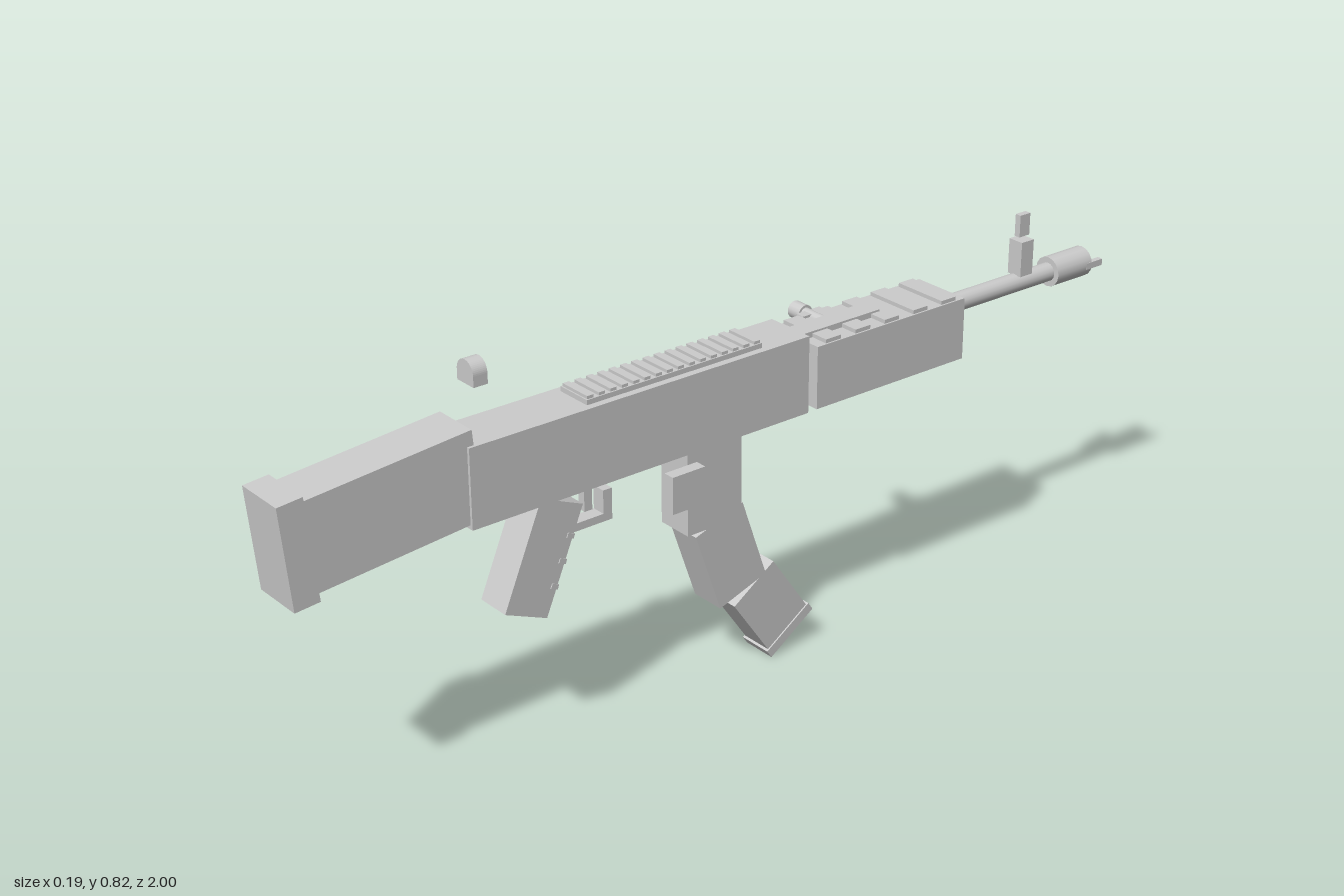
import * as THREE from 'three';

const CX = 0.02; // centre plane of the body
const mat = new THREE.MeshStandardMaterial({ color: 0xcccccc, flatShading: true });
const smooth = new THREE.MeshStandardMaterial({ color: 0xcccccc });

export function createModel() {
  const group = new THREE.Group();

  const add = (name, geometry, x, y, z, material = mat) => {
    const mesh = new THREE.Mesh(geometry, material);
    mesh.name = name;
    mesh.position.set(x, y, z);
    group.add(mesh);
    return mesh;
  };
  // box of width w, height h, depth d, tilted about x
  const box = (name, w, h, d, y, z, tilt = 0, x = CX) => {
    const mesh = add(name, new THREE.BoxGeometry(w, h, d), x, y, z);
    mesh.rotation.x = tilt;
    return mesh;
  };
  // cylinder along z from z0 to z1
  const rod = (name, r, z0, z1, y, x = CX) => {
    const geo = new THREE.CylinderGeometry(r, r, Math.abs(z1 - z0), 16);
    geo.rotateX(Math.PI / 2);
    return add(name, geo, x, y, (z0 + z1) / 2, smooth);
  };

  // Receiver and ridged top cover
  box('receiver', 0.11, 0.16, 0.78, 0.605, 0.225);
  box('topCover', 0.08, 0.01, 0.41, 0.69, 0.145);
  for (let i = 0; i < 16; i++) {
    box('topCoverRidge', 0.074, 0.008, 0.014, 0.697, -0.05 + i * 0.026);
  }

  // Stock, sloping down to the butt pad
  box('stock', 0.098, 0.18, 0.35, 0.61, 0.77, 0.09);
  box('buttPad', 0.11, 0.205, 0.052, 0.592, 0.962, 0.09);

  // Handguard with cross ribs
  box('handguard', 0.132, 0.13, 0.388, 0.598, -0.371);
  for (let i = 0; i < 5; i++) {
    box('handguardRib', 0.124, 0.014, 0.038, 0.664, -0.22 - i * 0.076);
  }
  box('gasBlock', 0.045, 0.054, 0.21, 0.648, -0.27);

  // Bolt handle on the right
  const across = (r, l) => new THREE.CylinderGeometry(r, r, l, 16).rotateZ(Math.PI / 2);
  add('boltStem', across(0.013, 0.075), -0.03, 0.658, -0.275, smooth);
  add('boltKnob', across(0.018, 0.032), -0.079, 0.658, -0.275, smooth);
  box('boltCollar', 0.02, 0.024, 0.06, 0.656, -0.275, 0, -0.046);

  // Barrel, muzzle and its two prongs
  rod('barrel', 0.02, -0.55, -0.88, 0.623);
  rod('muzzle', 0.032, -0.87, -0.97, 0.623);
  for (const s of [-1, 1]) {
    box('muzzleProng', 0.012, 0.014, 0.045, 0.622, -0.978, 0, CX + s * 0.026);
  }

  // Front sight
  box('frontSightBase', 0.036, 0.075, 0.034, 0.678, -0.788);
  box('frontSightPost', 0.014, 0.047, 0.028, 0.747, -0.788);

  // Domed rear sight
  const dome = new THREE.Shape();
  dome.moveTo(-0.025, 0);
  dome.lineTo(0.025, 0);
  dome.lineTo(0.025, 0.021);
  dome.absarc(0, 0.021, 0.025, 0, Math.PI, false);
  dome.closePath();
  const domeGeo = new THREE.ExtrudeGeometry(dome, { depth: 0.03, bevelEnabled: false, curveSegments: 12 });
  add('rearSight', domeGeo, CX, 0.779, 0.55);

  // Curved magazine in three segments
  box('magazineTop', 0.08, 0.185, 0.132, 0.437, 0.055);
  box('magazineMiddle', 0.078, 0.185, 0.122, 0.267, 0.013, 0.33);
  box('magazineBottom', 0.07, 0.155, 0.12, 0.118, -0.092, 0.6);
  box('magazinePlate', 0.076, 0.02, 0.13, 0.046, -0.141, 0.6);
  box('magazineCatch', 0.025, 0.077, 0.077, 0.463, 0.145, 0, 0.0825);

  // Pistol grip with finger ridges
  const tilt = -0.4;
  box('grip', 0.076, 0.225, 0.1, 0.407, 0.453, tilt);
  for (let i = -1; i <= 1; i++) {
    const down = 0.05 * i;
    box('gripRidge', 0.08, 0.01, 0.016,
      0.407 - down * Math.cos(tilt) + 0.044 * Math.sin(tilt),
      0.453 - down * Math.sin(tilt) - 0.044 * Math.cos(tilt), tilt);
  }

  // Trigger and its guard
  box('triggerGuard', 0.03, 0.016, 0.115, 0.433, 0.34);
  box('triggerGuardPost', 0.03, 0.064, 0.02, 0.457, 0.29);
  box('trigger', 0.018, 0.05, 0.018, 0.48, 0.33);

  return group;
}
